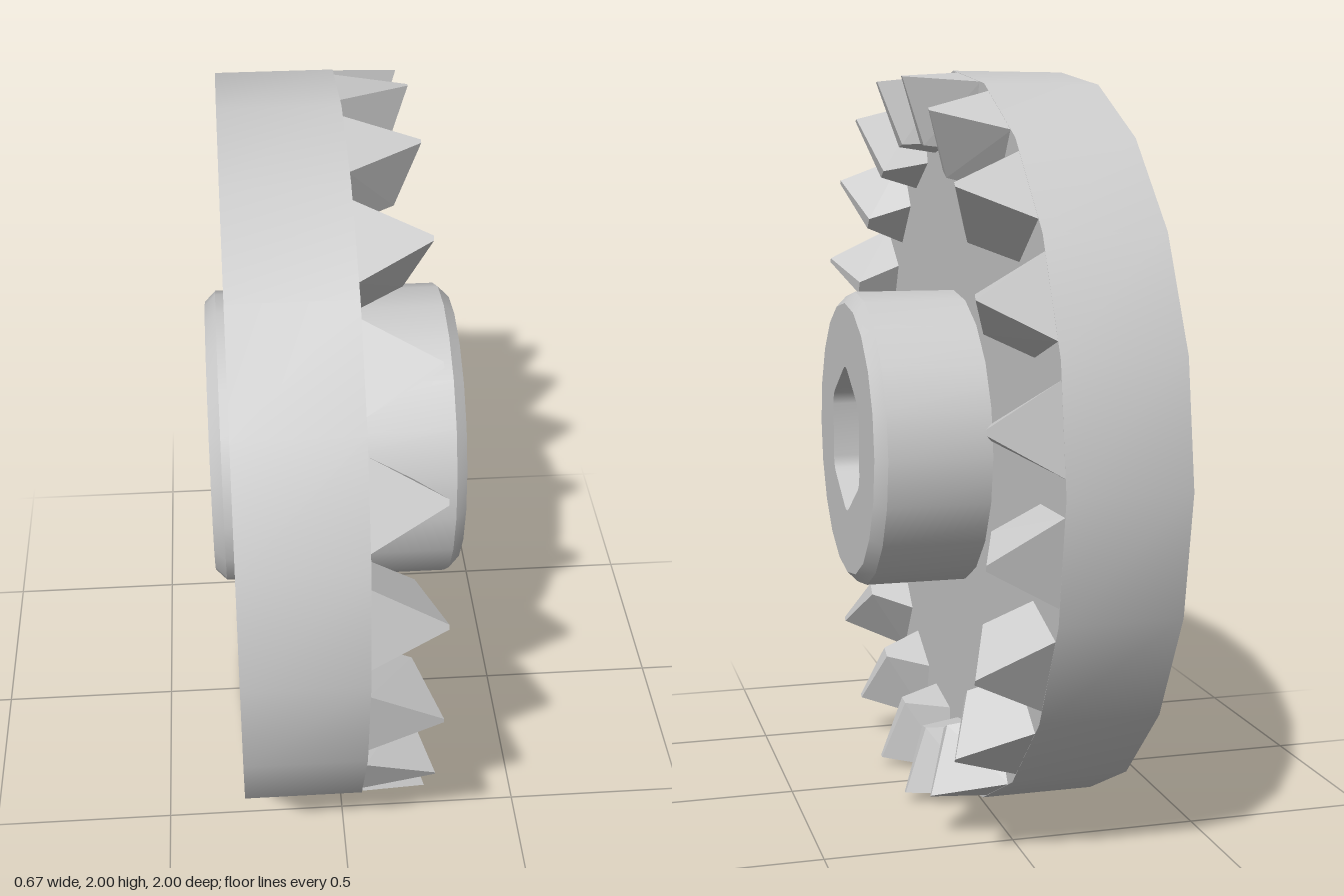
import * as THREE from 'three';
import { toCreasedNormals } from 'three/addons/utils/BufferGeometryUtils.js';
import { ConvexGeometry } from 'three/addons/geometries/ConvexGeometry.js';

const SIDES = 20;
const steel = new THREE.MeshStandardMaterial({ color: 0xcbcbcb });
steel.name = 'steel grey';

// Turned part around the x axis; profile is [radius, x] pairs
function turned(name, profile) {
  const pts = profile.map(([r, x]) => new THREE.Vector2(r, x));
  const geo = new THREE.LatheGeometry(pts, SIDES);
  geo.rotateZ(-Math.PI / 2);
  const mesh = new THREE.Mesh(toCreasedNormals(geo, 0.5), steel);
  mesh.name = name;
  return mesh;
}

// Hexagon with slightly rounded corners, pointing up
function hexPoints(apothem, round) {
  const pts = [];
  const inner = (apothem - round) / Math.cos(Math.PI / 6);
  for (let i = 0; i < 6; i++) {
    const a = i * Math.PI / 3;
    for (const d of [-1, -0.33, 0.33, 1]) {
      const b = a + d * Math.PI / 6;
      pts.push(new THREE.Vector2(
        inner * Math.sin(a) + round * Math.sin(b),
        inner * Math.cos(a) + round * Math.cos(b)));
    }
  }
  return pts;
}

// Hub core with the hexagonal bore
function hubCore(radius, halfLength) {
  const outline = [];
  for (let i = 0; i < SIDES; i++) {
    const a = i * 2 * Math.PI / SIDES;
    outline.push(new THREE.Vector2(radius * Math.cos(a), radius * Math.sin(a)));
  }
  const shape = new THREE.Shape(outline);
  shape.holes.push(new THREE.Path(hexPoints(0.18, 0.05)));
  const geo = new THREE.ExtrudeGeometry(shape, { depth: 2 * halfLength, bevelEnabled: false });
  geo.translate(0, 0, -halfLength);
  geo.rotateY(Math.PI / 2);
  const mesh = new THREE.Mesh(toCreasedNormals(geo, 0.5), steel);
  mesh.name = 'hexBoreHub';
  return mesh;
}

// Tapered crown tooth: tall and pointed at the rim, lower and blunter towards the hub
function toothGeometry() {
  const pts = [];
  const corners = [ // x, radius, half width
    [0.025, 0.987, 0.113], [0.208, 0.987, 0.007],
    [0.025, 0.805, 0.082], [0.147, 0.81, 0.02],
  ];
  for (const [x, r, w] of corners) {
    for (const s of [-1, 1]) pts.push(new THREE.Vector3(x, r, s * w));
  }
  return new ConvexGeometry(pts);
}

export function createModel() {
  const gear = new THREE.Group();
  gear.name = 'crownGear';

  const wheel = new THREE.Group();
  wheel.name = 'wheel';
  wheel.add(turned('disc', [[0.37, -0.28], [1, -0.28], [1, 0.028], [0.37, 0.028]]));
  wheel.add(turned('hubCollar', [[0.375, -0.335], [0.405, -0.305], [0.405, 0.305], [0.375, 0.335]]));
  wheel.add(hubCore(0.375, 0.335));

  // Ring of teeth, one centred on each rim facet
  const teeth = new THREE.Group();
  teeth.name = 'teeth';
  const geo = toothGeometry();
  for (let i = 0; i < SIDES; i++) {
    const tooth = new THREE.Mesh(geo, steel);
    tooth.name = 'tooth';
    tooth.rotation.x = (i + 0.5) * 2 * Math.PI / SIDES;
    teeth.add(tooth);
  }
  wheel.add(teeth);

  wheel.position.y = 1;
  gear.add(wheel);
  return gear;
}
